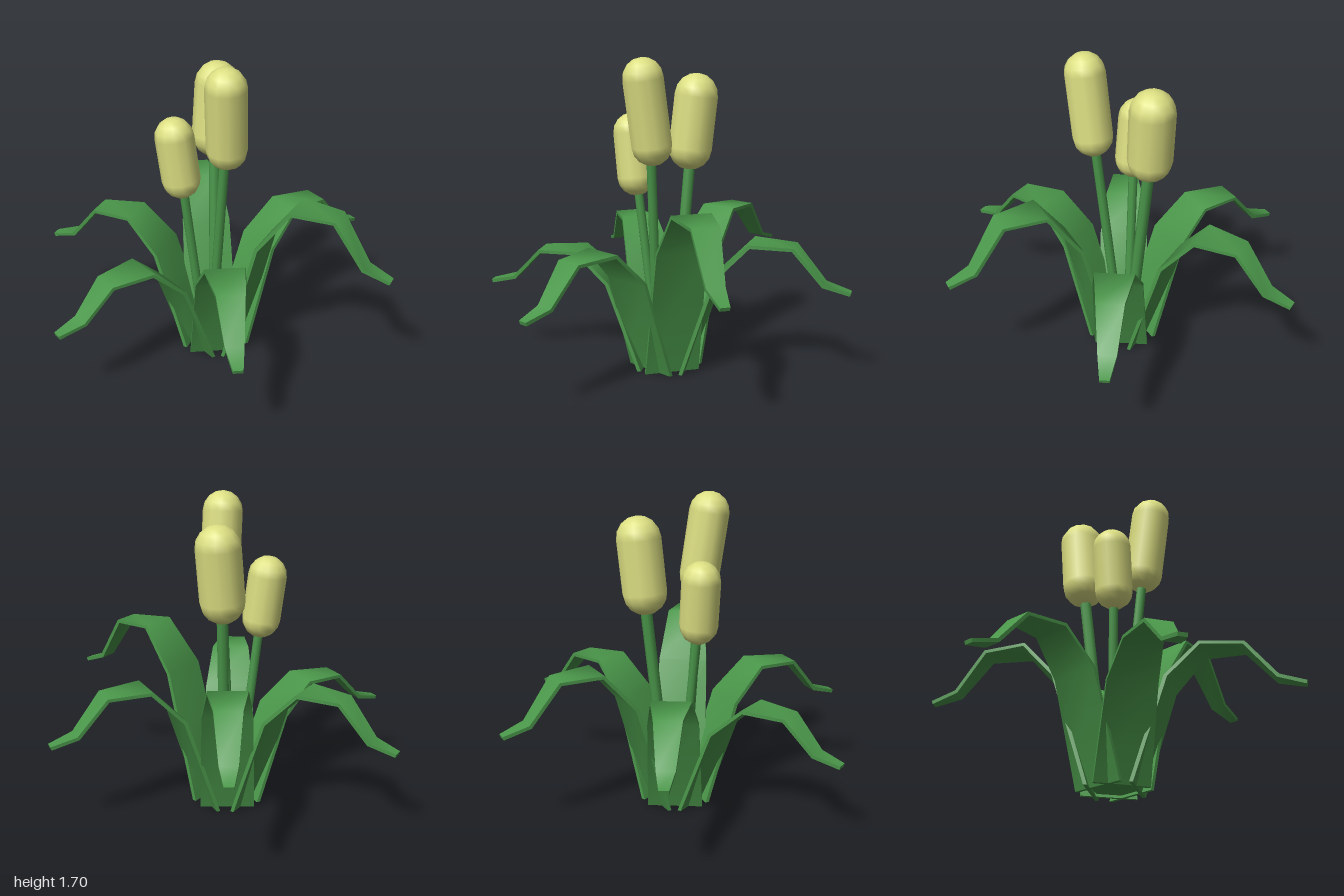
import * as THREE from 'three';

const green = new THREE.MeshStandardMaterial({ color: 0x4a964a });
green.name = 'leaf green';
const yellow = new THREE.MeshStandardMaterial({ color: 0xdcdf82 });
yellow.name = 'pale yellow';

// Leaf stations: distance from the centre, height, half width
const PROFILE = [
  [0.12, 0, 0.15],
  [0.3, 0.55, 0.135],
  [0.475, 0.73, 0.105],
  [0.7, 0.72, 0.073],
  [0.86, 0.53, 0.048],
  [1.0, 0.49, 0.025],
];
const THICK = 0.02;

// A bent, tapering strap with a rectangular section; smooth along its length, sharp at its edges
function leafGeometry(scale) {
  const mid = PROFILE.map(([r, y]) => new THREE.Vector2(r, y * scale));
  const rings = PROFILE.map(([, , half], i) => {
    const before = mid[Math.max(i - 1, 0)];
    const after = mid[Math.min(i + 1, mid.length - 1)];
    const t = after.clone().sub(before).normalize();
    const n = new THREE.Vector2(-t.y, t.x).multiplyScalar(THICK / 2);
    if (i === 0) n.set(-THICK / 2, 0);
    const up = mid[i].clone().add(n);
    const low = mid[i].clone().sub(n);
    return [[up.x, up.y, half], [up.x, up.y, -half], [low.x, low.y, -half], [low.x, low.y, half]];
  });

  const positions = [];
  const index = [];
  for (let side = 0; side < 4; side++) {
    const start = positions.length / 3;
    rings.forEach((ring) => positions.push(...ring[side], ...ring[(side + 1) % 4]));
    for (let i = 0; i < rings.length - 1; i++) {
      const a = start + i * 2;
      index.push(a, a + 2, a + 1, a + 1, a + 2, a + 3);
    }
  }
  // End faces
  for (const ring of [rings[0], [...rings[rings.length - 1]].reverse()]) {
    const s = positions.length / 3;
    positions.push(...ring.flat());
    index.push(s, s + 1, s + 2, s, s + 2, s + 3);
  }

  const geometry = new THREE.BufferGeometry();
  geometry.setAttribute('position', new THREE.Float32BufferAttribute(positions, 3));
  geometry.setIndex(index);
  geometry.computeVertexNormals();
  return geometry;
}

// Turns a mesh built along +y to lie along a direction
function aim(mesh, centre, direction) {
  mesh.position.copy(centre);
  mesh.quaternion.setFromUnitVectors(new THREE.Vector3(0, 1, 0), direction.clone().normalize());
  return mesh;
}

export function createModel() {
  const model = new THREE.Group();
  model.name = 'reedPlant';

  // Leaves: tip position on the ground plan, height factor
  const leaves = [
    [1.0, 0.005, 1],
    [0.51, 0.865, 1.3],
    [-0.465, 0.885, 1],
    [-1.0, 0.06, 0.87],
    [-0.56, -0.82, 1],
    [0.41, -0.9, 1.11],
  ];
  leaves.forEach(([x, z, scale], i) => {
    const leaf = new THREE.Mesh(leafGeometry(scale), green);
    leaf.name = `leaf${i + 1}`;
    leaf.rotation.y = -Math.atan2(z, x);
    model.add(leaf);
  });

  // Root plate closing the middle of the tuft
  const root = new THREE.Mesh(new THREE.CylinderGeometry(0.13, 0.13, 0.03, 6), green);
  root.name = 'rootPlate';
  root.position.y = 0.03;
  model.add(root);

  // Stalks: stem foot, stem radius, head centre, head tilt, head radius, head length
  const stalks = [
    { foot: [-0.04, 0.02, 0.025], stem: 0.026, top: [-0.04, 1.2, 0.15],
      head: [-0.05, 1.425, 0.178], tilt: [-0.1, 1, 0.11], radius: 0.108, length: 0.565 },
    { foot: [0.03, 0.02, -0.04], stem: 0.031, top: [0.095, 1.13, -0.145],
      head: [0.11, 1.34, -0.155], tilt: [0.1, 1, -0.04], radius: 0.12, length: 0.525 },
    { foot: [-0.05, 0.02, -0.025], stem: 0.025, top: [-0.172, 1.0, -0.045],
      head: [-0.195, 1.165, -0.055], tilt: [-0.11, 1, -0.07], radius: 0.103, length: 0.45 },
  ];
  stalks.forEach((s, i) => {
    const foot = new THREE.Vector3(...s.foot);
    const top = new THREE.Vector3(...s.top);
    const along = top.clone().sub(foot);

    const stem = new THREE.Mesh(new THREE.CylinderGeometry(s.stem, s.stem, along.length(), 8), green);
    stem.name = `stem${i + 1}`;
    model.add(aim(stem, foot.clone().add(top).multiplyScalar(0.5), along));

    const head = new THREE.Mesh(
      new THREE.CapsuleGeometry(s.radius, s.length - 2 * s.radius, 4, 12), yellow);
    head.name = `seedHead${i + 1}`;
    model.add(aim(head, new THREE.Vector3(...s.head), new THREE.Vector3(...s.tilt)));
  });

  return model;
}
